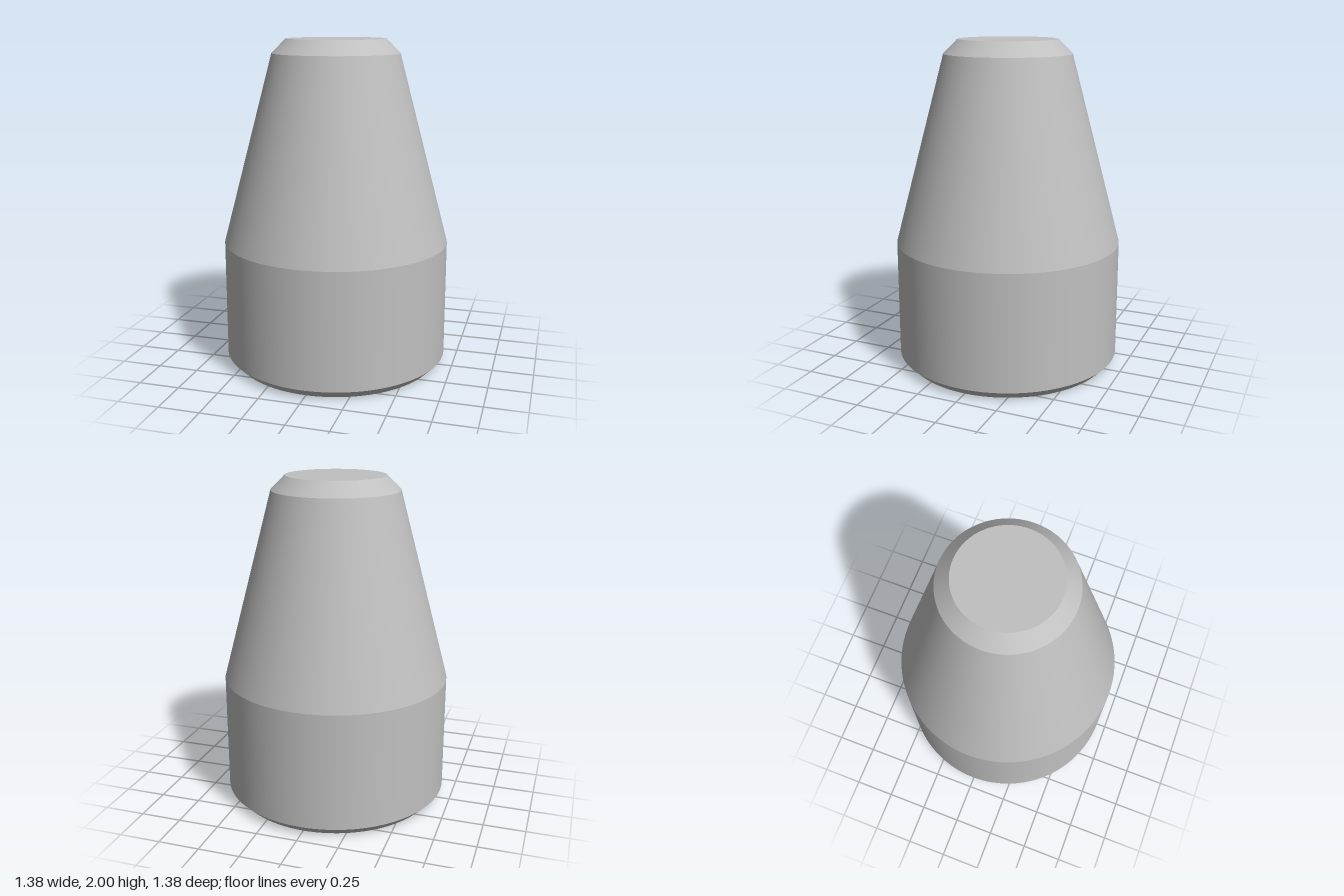
import * as THREE from 'three';

const SIDES = 96;

export function createModel() {
  const group = new THREE.Group();
  group.name = 'taperedPlug';
  const grey = new THREE.MeshStandardMaterial({ color: 0xc0c0c0 });
  grey.name = 'plain grey';

  const add = (name, geometry, y) => {
    const mesh = new THREE.Mesh(geometry, grey);
    mesh.name = name;
    mesh.position.y = y;
    group.add(mesh);
    return mesh;
  };

  // Stacked bands, each smooth around with a crisp edge to the next: name, lower radius and y, upper radius and y
  const bands = [
    ['bottomChamfer', 0.635, 0, 0.69, 0.055],
    ['cylindricalBase', 0.69, 0.055, 0.69, 0.77],
    ['taperedBody', 0.69, 0.77, 0.385, 1.915],
    ['topChamfer', 0.385, 1.915, 0.3, 2],
  ];
  for (const [name, r0, y0, r1, y1] of bands) {
    add(name, new THREE.CylinderGeometry(r1, r0, y1 - y0, SIDES, 1, true), (y0 + y1) / 2);
  }

  // Flat end faces, turned so their rims meet the bands
  const cap = (radius, tilt) =>
    new THREE.CircleGeometry(radius, SIDES).rotateX(tilt);
  add('topFace', cap(0.3, -Math.PI / 2), 2);
  add('bottomFace', cap(0.635, Math.PI / 2), 0);

  return group;
}
